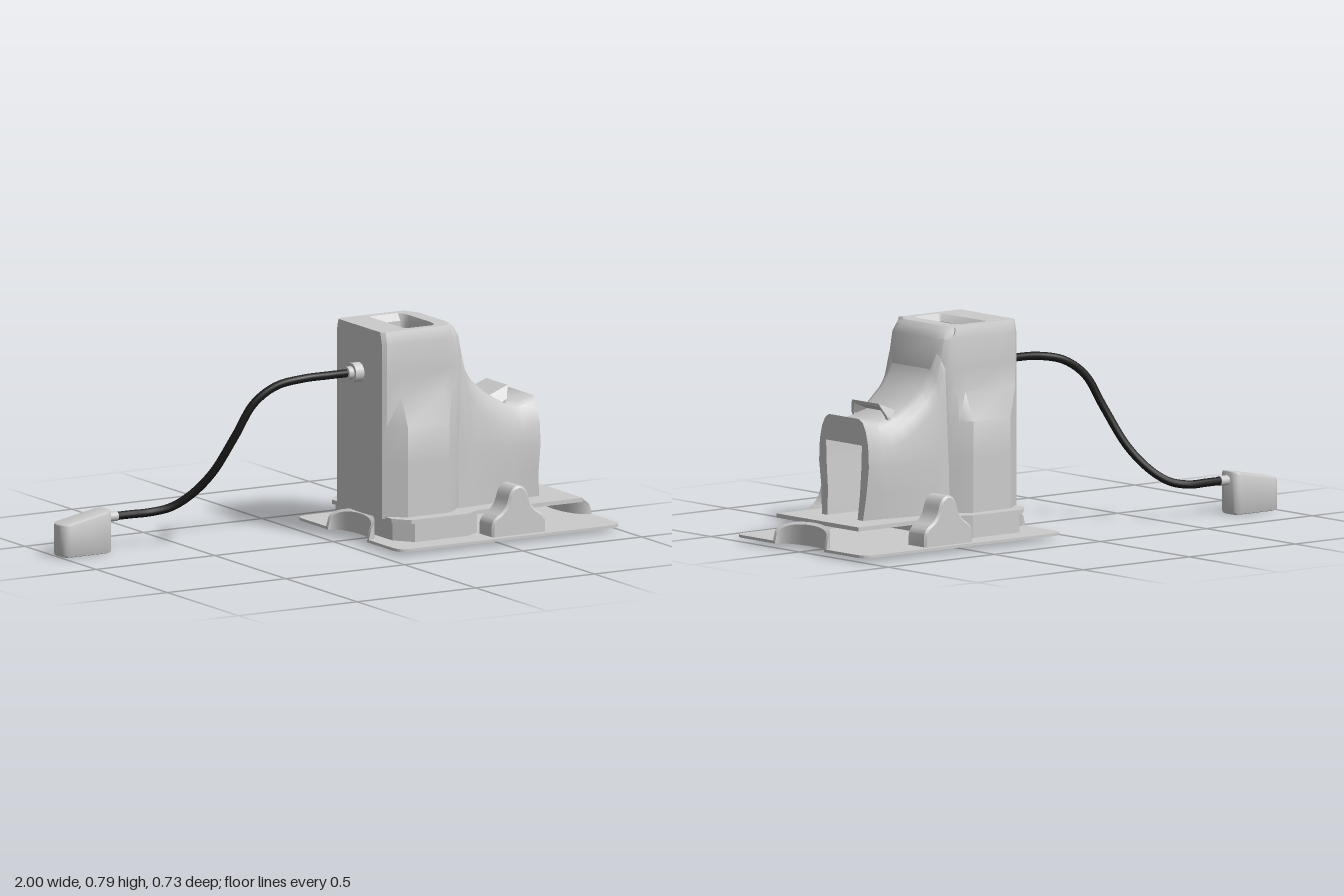
import * as THREE from 'three';
import { toCreasedNormals } from 'three/addons/utils/BufferGeometryUtils.js';

const grey = new THREE.MeshStandardMaterial({ color: 0xcccccc });
const greyDouble = new THREE.MeshStandardMaterial({ color: 0xcccccc, side: THREE.DoubleSide });
const black = new THREE.MeshStandardMaterial({ color: 0x1a1a1a });

const lerp = THREE.MathUtils.lerp;

// Piecewise-linear lookup in a list of [key, value] pairs
function sample(table, k) {
  for (let i = 1; i < table.length; i++) {
    const [k0, v0] = table[i - 1], [k1, v1] = table[i];
    if (k <= k1) return lerp(v0, v1, Math.max(0, (k - k0) / (k1 - k0)));
  }
  return table[table.length - 1][1];
}

// Skin over closed rings that all have the same number of points
function loft(rings, crease = 0.6) {
  const n = rings[0].length, index = [];
  for (let i = 0; i < rings.length - 1; i++) {
    for (let j = 0; j < n; j++) {
      const a = i * n + j, b = i * n + (j + 1) % n;
      index.push(a, b, b + n, a, b + n, a + n);
    }
  }
  const g = new THREE.BufferGeometry();
  g.setAttribute('position', new THREE.Float32BufferAttribute(rings.flat(2), 3));
  g.setIndex(index);
  return toCreasedNormals(g, crease);
}

// Half ring on +z followed by its mirror image
const mirrorRing = half => [...half, ...half.map(([x, y, z]) => [x, y, -z]).reverse()];

// Flat outline (x, z) raised from y0 to y1
function slab(shape, y0, y1) {
  const g = new THREE.ExtrudeGeometry(shape, { depth: y1 - y0, bevelEnabled: false, curveSegments: 16 });
  return toCreasedNormals(g.rotateX(-Math.PI / 2).translate(0, y0, 0), 0.5);
}

const polygon = pts => new THREE.Shape(pts.map(p => new THREE.Vector2(...p)));
const mirrorOutline = half => polygon([...half, ...half.map(([x, z]) => [x, -z]).reverse()]);

function basePlateShape() {
  const s = new THREE.Shape(), w = 0.367, r = 0.05;
  s.moveTo(0.06 + r, -w);
  s.lineTo(1 - r, -w).quadraticCurveTo(1, -w, 1, -w + r);
  s.lineTo(1, -0.137).absellipse(1, 0, 0.055, 0.137, -Math.PI / 2, Math.PI / 2, true);
  s.lineTo(1, w - r).quadraticCurveTo(1, w, 1 - r, w);
  s.lineTo(0.06 + r, w).quadraticCurveTo(0.06, w, 0.06, w - r);
  s.lineTo(0.06, 0.137).absellipse(0.06, 0, 0.055, 0.137, Math.PI / 2, -Math.PI / 2, true);
  s.lineTo(0.06, -w + r).quadraticCurveTo(0.06, -w, 0.06 + r, -w);
  return s;
}

// Curved wall round the notch at one end of the base plate
function notchRim(edge, dir) {
  const rings = [];
  for (let i = 0; i <= 24; i++) {
    const t = (i / 24 - 0.5) * Math.PI, c = Math.max(0, Math.cos(t)), s = Math.sin(t);
    const top = 0.025 + 0.075 * Math.pow(c, 0.35);
    const xo = edge + dir * 0.07 * c, xi = edge + dir * 0.055 * c;
    rings.push([[xo, 0.015, 0.15 * s], [xo, top, 0.15 * s], [xi, top - 0.008, 0.137 * s], [xi, 0.015, 0.137 * s]]);
  }
  return loft(rings, 0.5);
}

// Upright housing: bulged sides, with a pocket sunk into the top
function towerGeometry() {
  const right = [[0.1, 0.46], [0.6, 0.475], [0.63, 0.475], [0.74, 0.455], [0.77, 0.44], [0.785, 0.42]];
  const bulge = [[0.44, 0.045], [0.545, 0]];
  const ring = y => {
    const xr = sample(right, y), b = sample(bulge, y), w = sample([[0.75, 0.17], [0.785, 0.158]], y);
    return mirrorRing([
      [0.11, y, w - 0.012], [0.125, y, w], [0.185, y, w + b], [0.36, y, w + b], [0.4, y, w + b * 0.35],
      [xr - 0.04, y, w - 0.006], [xr - 0.015, y, w - 0.025], [xr, y, w - 0.065],
    ]);
  };
  const rings = [0.1, 0.3, 0.44, 0.545, 0.63, 0.74, 0.77, 0.785].map(ring);
  const rim = rings[rings.length - 1];
  const pocket = (y, x0, x1, s) => rings.push(rim.map(([x, , z]) => [lerp(x0, x1, (x - 0.11) / 0.31), y, z * s]));
  pocket(0.785, 0.225, 0.365, 0.82);
  pocket(0.76, 0.245, 0.36, 0.68);
  pocket(0.45, 0.245, 0.36, 0.68);
  pocket(0.45, 0.3, 0.3, 0);
  return loft(rings);
}

// Sloping nose with a doorway and tunnel in its end
function noseGeometry() {
  const stations = [ // x, height, mid half-width, foot half-width
    [0.43, 0.75, 0.16, 0.165], [0.455, 0.71, 0.164, 0.165], [0.475, 0.63, 0.164, 0.163],
    [0.495, 0.595, 0.162, 0.16], [0.52, 0.56, 0.16, 0.158], [0.58, 0.51, 0.155, 0.148],
    [0.63, 0.478, 0.15, 0.14], [0.68, 0.46, 0.145, 0.133], [0.72, 0.455, 0.142, 0.126], [0.79, 0.475, 0.14, 0.115],
  ];
  const rings = stations.map(([x, h, w, f]) => mirrorRing([
    [x, h, w * 0.6], [x, h - 0.012, w * 0.75], [x, h - 0.045, w * 0.88], [x, h - 0.095, w * 0.97],
    [x, 0.3, w], [x, 0.2, lerp(f, w, 0.45)], [x + (x > 0.75 ? 0.008 : 0), 0.1, f],
  ]));
  for (const x of [0.79, 0.47]) {
    rings.push(mirrorRing([
      [x, 0.38, 0.08], [x, 0.38, 0.092], [x, 0.379, 0.1], [x, 0.36, 0.1],
      [x, 0.3, 0.098], [x, 0.2, 0.09], [x + (x > 0.75 ? 0.008 : 0), 0.1, 0.085],
    ]));
  }
  return loft(rings);
}

// Thin hood on the nose, open towards +x
function hoodGeometry() {
  const shape = polygon([[-0.1, -0.07], [0.1, -0.07], [0.1, -0.045], [0.075, 0], [-0.075, 0], [-0.1, -0.045]]);
  shape.holes.push(polygon([[-0.088, -0.066], [-0.088, -0.048], [-0.07, -0.012], [0.07, -0.012], [0.088, -0.048], [0.088, -0.066]]));
  const g = new THREE.ExtrudeGeometry(shape, { depth: 0.09, bevelEnabled: false }).rotateY(Math.PI / 2);
  const p = g.attributes.position;
  for (let i = 0; i < p.count; i++) {
    const k = p.getX(i) / 0.09, y = p.getY(i);
    p.setXYZ(i, 0.6 + k * (0.09 + y * 0.4), 0.485 + y + k * 0.035, p.getZ(i));
  }
  return toCreasedNormals(g, 0.4);
}

// Hump-shaped side guide
function guideGeometry() {
  const s = new THREE.Shape();
  s.moveTo(0.475, 0.025);
  s.lineTo(0.475, 0.06).quadraticCurveTo(0.477, 0.083, 0.5, 0.095);
  s.quadraticCurveTo(0.535, 0.115, 0.545, 0.155).quadraticCurveTo(0.555, 0.196, 0.58, 0.196);
  s.quadraticCurveTo(0.605, 0.196, 0.615, 0.155).quadraticCurveTo(0.625, 0.115, 0.66, 0.095);
  s.quadraticCurveTo(0.683, 0.083, 0.685, 0.06).lineTo(0.685, 0.025);
  const g = new THREE.ExtrudeGeometry(s, { depth: 0.085, bevelSize: 0.008, bevelThickness: 0.008, bevelSegments: 1, curveSegments: 6 });
  return toCreasedNormals(g.translate(0, 0, -0.0425), 0.6);
}

// Rounded plug whose top slopes down away from the cable
function plugGeometry() {
  const s = new THREE.Shape(), x0 = -0.99, x1 = -0.797, w = 0.037, r = 0.025;
  s.moveTo(x0 + r, -w);
  s.lineTo(x1 - r, -w).quadraticCurveTo(x1, -w, x1, -w + r);
  s.lineTo(x1, w - r).quadraticCurveTo(x1, w, x1 - r, w);
  s.lineTo(x0 + r, w).quadraticCurveTo(x0, w, x0, w - r);
  s.lineTo(x0, -w + r).quadraticCurveTo(x0, -w, x0 + r, -w);
  const g = new THREE.ExtrudeGeometry(s, { depth: 0.1, bevelSize: 0.01, bevelThickness: 0.01, bevelSegments: 2, curveSegments: 6 });
  g.rotateX(-Math.PI / 2).translate(0, 0.01, 0);
  const p = g.attributes.position;
  for (let i = 0; i < p.count; i++) {
    if (p.getY(i) > 0.06) p.setY(i, p.getY(i) + (p.getX(i) + 1) * 0.19);
  }
  return toCreasedNormals(g.translate(0, 0, -0.273), 0.6);
}

export function createModel() {
  const model = new THREE.Group();
  const add = (name, geometry, material = grey) => {
    const mesh = new THREE.Mesh(geometry, material);
    mesh.name = name;
    model.add(mesh);
    return mesh;
  };

  // Base and sole
  add('basePlate', slab(basePlateShape(), 0.015, 0.025));
  add('rightNotchRim', notchRim(0.06, 1), greyDouble);
  add('leftNotchRim', notchRim(1, -1), greyDouble);
  add('soleBlock', slab(mirrorOutline([[0.13, -0.2], [0.185, -0.267], [0.405, -0.267], [0.467, -0.23]]), 0.025, 0.095));
  add('solePlate', slab(mirrorOutline([[0.12, -0.21], [0.17, -0.267], [0.405, -0.267], [0.467, -0.23], [0.915, -0.23]]), 0.092, 0.107));
  for (const side of [1, -1]) {
    add(side > 0 ? 'frontGuide' : 'backGuide', guideGeometry()).position.z = side * 0.291;
  }

  // Housing
  add('tower', towerGeometry());
  add('nose', noseGeometry());
  add('hood', hoodGeometry());

  // Cable with its fittings
  const fitting = (name, r, x0, x1, y, z) => add(name,
    new THREE.CylinderGeometry(r, r, x1 - x0, 24).rotateZ(Math.PI / 2).translate((x0 + x1) / 2, y, z));
  fitting('cableSocket', 0.036, 0.075, 0.115, 0.615, 0);
  fitting('cableCollar', 0.024, 0.055, 0.08, 0.615, 0);
  fitting('plugCollar', 0.018, -0.8, -0.75, 0.125, -0.273);
  const path = new THREE.CatmullRomCurve3([
    [0.07, 0.615, 0], [-0.02, 0.615, 0], [-0.12, 0.612, -0.008], [-0.22, 0.59, -0.035], [-0.3, 0.53, -0.058],
    [-0.36, 0.41, -0.09], [-0.42, 0.27, -0.15], [-0.48, 0.185, -0.205], [-0.54, 0.14, -0.245],
    [-0.61, 0.125, -0.27], [-0.69, 0.125, -0.273], [-0.77, 0.125, -0.273],
  ].map(p => new THREE.Vector3(...p)));
  add('cable', new THREE.TubeGeometry(path, 80, 0.015, 12), black);
  add('plug', plugGeometry());

  return model;
}
